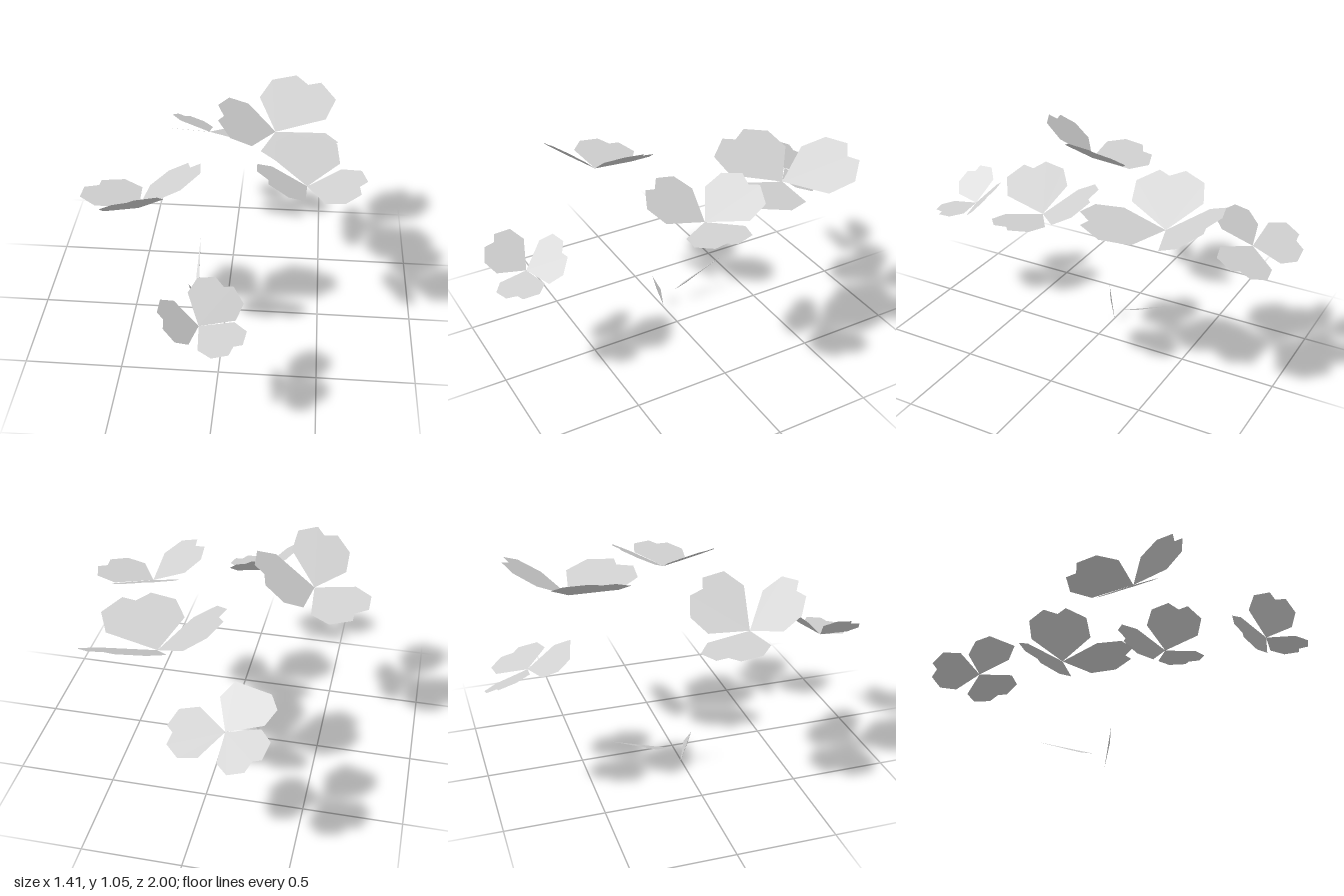
import * as THREE from 'three';

const leafGrey = new THREE.MeshStandardMaterial({ color: 0xd0d0d0, side: THREE.DoubleSide });
leafGrey.name = 'leafGrey';

// Heart-shaped leaflet outline: [along the midrib, across], starting at the stalk
const HEART = [[0, 0], [0.48, -0.97], [0.86, -0.97], [1.09, -0.45], [1, 0], [1.12, 0.28], [0.92, 0.92], [0.52, 1]];
// Blunt leaflet without the notch
const BLUNT = [[0, 0], [0.48, -0.97], [0.86, -0.97], [1.06, -0.45], [0.92, 0.92], [0.52, 1]];

// Flat fan of triangles from the first point
function fan(name, points) {
  const pos = [];
  for (let i = 1; i < points.length - 1; i++) {
    for (const p of [points[0], points[i], points[i + 1]]) pos.push(...p);
  }
  const g = new THREE.BufferGeometry();
  g.setAttribute('position', new THREE.Float32BufferAttribute(pos, 3));
  g.computeVertexNormals();
  const mesh = new THREE.Mesh(g, leafGrey);
  mesh.name = name;
  return mesh;
}

// A leaflet: outline laid along a midrib vector and a half-width vector
function leaflet(midrib, side, outline = HEART) {
  return fan('leaflet', outline.map(([u, v]) => midrib.map((m, k) => m * u + side[k] * v)));
}

// Each clover: centre, then [midrib, half-width, outline] of its three leaflets
const CLOVERS = [
  { name: 'leftClover', at: [-0.405, 0.835, 0.265], leaves: [
    [[-0.23, -0.006, -0.195], [0.104, -0.022, -0.12]],
    [[0.237, 0.143, -0.16], [0.09, 0.07, 0.13]],
    [[-0.01, 0.183, 0.228], [0.148, 0.042, 0]]] },
  { name: 'largeClover', at: [0.227, 0.858, -0.485], leaves: [
    [[0.165, 0.15, -0.27], [0.182, -0.04, 0.05]],
    [[-0.27, 0.148, 0.115], [0.026, -0.03, 0.18]],
    [[0.195, 0.06, 0.305], [0.165, 0, -0.113]]] },
  { name: 'rightClover', at: [0.406, 0.884, 0.08], leaves: [
    [[-0.01, 0.13, -0.245], [0.165, -0.02, -0.02]],
    [[-0.185, 0.132, 0.165], [0.09, -0.022, 0.116]],
    [[0.255, 0.035, 0.037], [0.035, 0.015, -0.137]]] },
  { name: 'frontClover', at: [-0.058, 0.58, 0.815], leaves: [
    [[0.102, 0.112, -0.153], [0.112, -0.056, 0.03]],
    [[-0.145, 0.115, 0.1], [-0.04, 0.046, -0.095]],
    [[0.167, -0.01, 0.114], [0.073, 0.014, -0.09]]] },
  { name: 'backClover', at: [-0.163, 0.67, -0.78], leaves: [
    [[-0.157, 0, -0.17], [-0.085, 0.058, 0.074]],
    [[0.238, -0.02, -0.03], [0.02, 0.043, 0.13]],
    [[-0.118, 0.115, 0.185], [0.118, 0.022, 0.05], BLUNT]] },
];

export function createModel() {
  const model = new THREE.Group();
  model.name = 'cloverLeaves';
  for (const { name, at, leaves } of CLOVERS) {
    const clover = new THREE.Group();
    clover.name = name;
    clover.position.set(...at);
    for (const leaf of leaves) clover.add(leaflet(...leaf));
    model.add(clover);
  }
  // Two narrow blades near the ground
  model.add(fan('backBlade', [[-0.178, 0.2, -0.385], [-0.163, 0.11, -0.15], [-0.158, 0.09, -0.07], [-0.18, 0.105, -0.14]]));
  model.add(fan('frontBlade', [[-0.2, 0.195, 0.042], [-0.163, 0.12, 0.012], [-0.17, 0, -0.008], [-0.183, 0.12, 0.028]]));
  return model;
}
